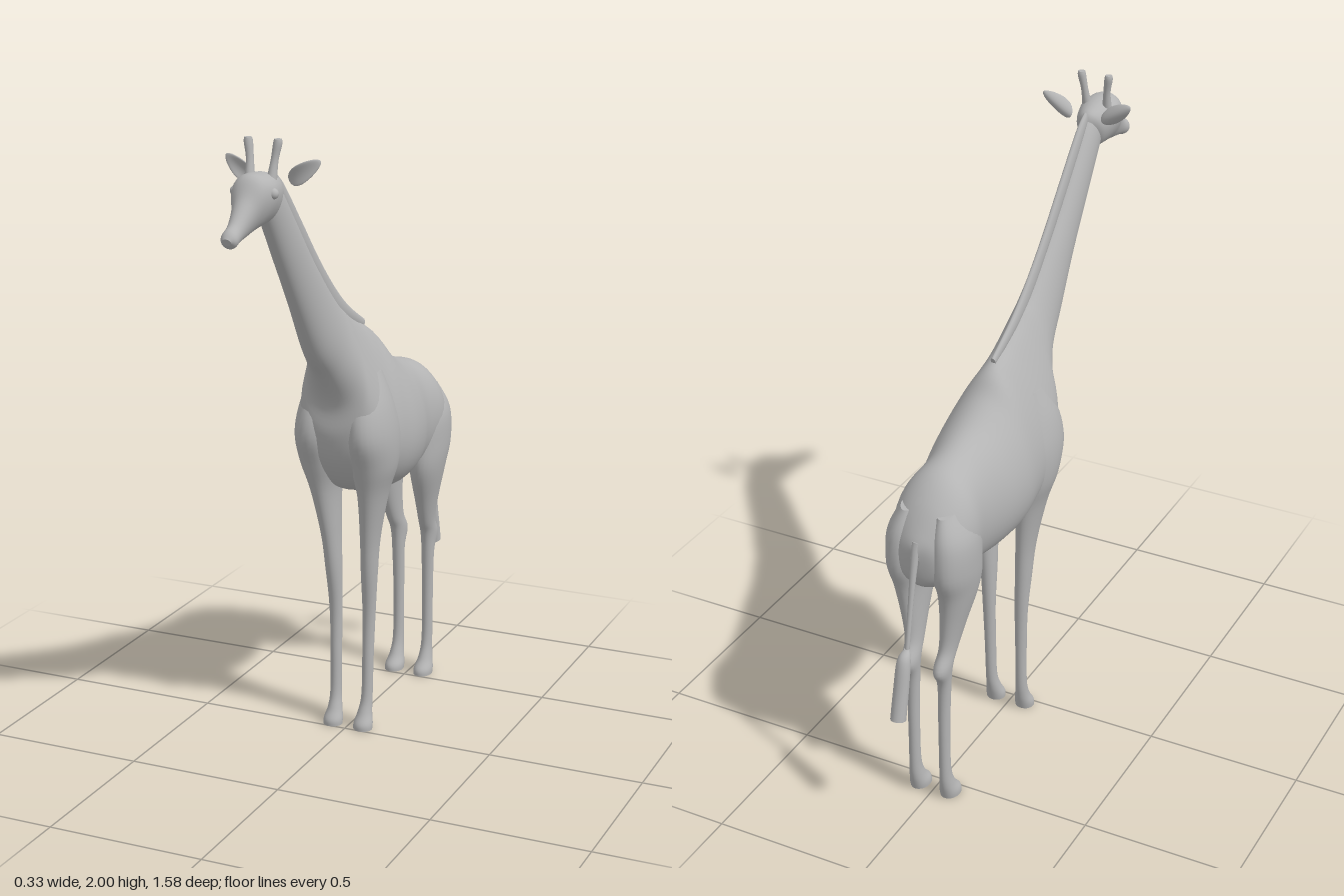
import * as THREE from 'three';

const hide = new THREE.MeshStandardMaterial({ color: 0xb4b4b4 });
hide.name = 'grey hide';

// Uniform Catmull-Rom through one column of the section table
function spline(rows, col, t) {
  const n = rows.length - 1, i = Math.min(Math.floor(t), n - 1), f = t - i;
  const at = (k) => rows[Math.max(0, Math.min(n, k))][col];
  const [a, b, c, d] = [at(i - 1), at(i), at(i + 1), at(i + 2)];
  return b + 0.5 * f * (c - a + f * (2 * a - 5 * b + 4 * c - d + f * (3 * (b - c) + d - a)));
}

// Smooth skin over oval sections, each row: z1, y1, z2, y2 (two ends in the side plane),
// x centre, half width, narrowing toward the first end
function loft(name, rows, { side = 1, steps = 5, sides = 28 } = {}) {
  const pos = [], idx = [], rings = (rows.length - 1) * steps;
  for (let r = 0; r <= rings; r++) {
    const [z1, y1, z2, y2, x, w, k] = [0, 1, 2, 3, 4, 5, 6].map((c) => spline(rows, c, r / steps));
    for (let s = 0; s < sides; s++) {
      const a = (s / sides) * Math.PI * 2, c = Math.cos(a);
      pos.push(side * x + Math.sin(a) * w * (1 - k * c),
        (y1 + y2) / 2 + c * (y1 - y2) / 2, (z1 + z2) / 2 + c * (z1 - z2) / 2);
    }
  }
  for (let r = 0; r < rings; r++) {
    for (let s = 0; s < sides; s++) {
      const a = r * sides + s, b = r * sides + (s + 1) % sides;
      idx.push(a, b, a + sides, b, b + sides, a + sides);
    }
  }
  // flat end caps with their own vertices
  for (const r of [0, rings]) {
    const base = pos.length / 3;
    pos.push(...pos.slice(r * sides * 3, (r + 1) * sides * 3));
    for (let s = 1; s < sides - 1; s++) {
      idx.push(base, ...(r ? [base + s, base + s + 1] : [base + s + 1, base + s]));
    }
  }
  // turn the faces outward if the enclosed volume is negative
  let volume = 0;
  const v = (i) => new THREE.Vector3().fromArray(pos, i * 3);
  for (let i = 0; i < idx.length; i += 3) volume += v(idx[i]).dot(v(idx[i + 1]).cross(v(idx[i + 2])));
  if (volume < 0) idx.reverse();
  const geo = new THREE.BufferGeometry();
  geo.setAttribute('position', new THREE.Float32BufferAttribute(pos, 3));
  geo.setIndex(idx);
  geo.computeVertexNormals();
  const mesh = new THREE.Mesh(geo, hide);
  mesh.name = name;
  return mesh;
}

// Leaf-shaped ear, cupped toward the front
function ear(side) {
  const geo = new THREE.SphereGeometry(1, 24, 16);
  const p = geo.attributes.position;
  for (let i = 0; i < p.count; i++) {
    const u = p.getX(i), h = p.getY(i) * 0.026 * (1 - 0.25 * u);
    p.setXYZ(i, u * 0.058, h, p.getZ(i) * 0.011 + h * h * 22);
  }
  geo.computeVertexNormals();
  const mesh = new THREE.Mesh(geo, hide);
  mesh.name = side > 0 ? 'leftEar' : 'rightEar';
  mesh.position.set(side * 0.1, 1.903, 0.493);
  mesh.rotation.z = side > 0 ? 0.6 : Math.PI - 0.6;
  return mesh;
}

// Rump to neck
const bodyRows = [
  [-0.64, 0.94, -0.635, 0.86, 0, 0.015, 0],
  [-0.622, 0.98, -0.622, 0.81, 0, 0.07, 0],
  [-0.57, 1.06, -0.58, 0.78, 0, 0.112, 0],
  [-0.5, 1.12, -0.5, 0.765, 0, 0.132, 0],
  [-0.4, 1.15, -0.41, 0.757, 0, 0.125, 0.05],
  [-0.3, 1.185, -0.3, 0.755, 0, 0.15, 0.12],
  [-0.22, 1.235, -0.2, 0.762, 0, 0.16, 0.2],
  [-0.17, 1.29, -0.1, 0.785, 0, 0.15, 0.3],
  [-0.13, 1.318, 0, 0.82, 0, 0.14, 0.4],
  [-0.07, 1.342, 0.07, 0.91, 0, 0.128, 0.45],
  [0, 1.378, 0.1, 1.01, 0, 0.108, 0.42],
  [0.05, 1.41, 0.103, 1.11, 0, 0.086, 0.35],
  [0.1, 1.445, 0.16, 1.205, 0, 0.066, 0.2],
  [0.18, 1.52, 0.245, 1.3, 0, 0.054, 0.1],
  [0.29, 1.635, 0.35, 1.46, 0, 0.045, 0],
  [0.4, 1.765, 0.46, 1.625, 0, 0.04, 0],
  [0.49, 1.868, 0.55, 1.76, 0, 0.036, 0],
  [0.53, 1.885, 0.58, 1.78, 0, 0.03, 0],
];
const headRows = [
  [0.485, 1.86, 0.53, 1.775, 0, 0.02, 0],
  [0.5, 1.888, 0.55, 1.763, 0, 0.044, -0.1],
  [0.55, 1.905, 0.58, 1.76, 0, 0.058, -0.2],
  [0.6, 1.912, 0.62, 1.755, 0, 0.062, -0.3],
  [0.65, 1.905, 0.655, 1.748, 0, 0.05, -0.3],
  [0.69, 1.85, 0.68, 1.743, 0, 0.034, -0.2],
  [0.74, 1.797, 0.73, 1.735, 0, 0.025, 0],
  [0.775, 1.775, 0.765, 1.725, 0, 0.025, 0],
  [0.79, 1.757, 0.78, 1.737, 0, 0.014, 0],
];
const maneRows = [
  [0.485, 1.895, 0.5, 1.86, 0, 0.008, 0],
  [0.43, 1.853, 0.45, 1.8, 0, 0.011, 0],
  [0.31, 1.722, 0.34, 1.67, 0, 0.011, 0],
  [0.195, 1.593, 0.22, 1.54, 0, 0.011, 0],
  [0.08, 1.482, 0.1, 1.42, 0, 0.011, 0],
  [-0.02, 1.404, 0, 1.36, 0, 0.011, 0],
  [-0.143, 1.334, -0.13, 1.305, 0, 0.008, 0],
];
// Front and back edge from shoulder or hip down to the hoof
const foreLegRows = [
  [0.02, 1.2, -0.08, 1.2, 0.075, 0.03, 0],
  [0.085, 1.1, -0.12, 1.1, 0.08, 0.064, 0],
  [0.105, 1, -0.15, 1, 0.087, 0.075, 0],
  [0.07, 0.9, -0.14, 0.9, 0.086, 0.07, 0],
  [0.035, 0.8, -0.115, 0.8, 0.081, 0.045, 0],
  [0, 0.65, -0.096, 0.65, 0.068, 0.03, 0],
  [-0.02, 0.53, -0.088, 0.53, 0.062, 0.026, 0],
  [-0.04, 0.39, -0.084, 0.39, 0.058, 0.021, 0],
  [-0.038, 0.24, -0.08, 0.24, 0.056, 0.018, 0],
  [-0.034, 0.11, -0.075, 0.11, 0.055, 0.018, 0],
  [-0.018, 0.055, -0.068, 0.055, 0.053, 0.023, 0],
  [0.003, 0.02, -0.06, 0.02, 0.053, 0.031, 0],
  [0.005, 0, -0.055, 0, 0.053, 0.031, 0],
];
const hindLegRows = [
  [-0.46, 1.05, -0.59, 1.03, 0.06, 0.03, 0],
  [-0.42, 0.95, -0.625, 0.95, 0.074, 0.06, 0],
  [-0.41, 0.85, -0.63, 0.84, 0.077, 0.062, 0],
  [-0.415, 0.755, -0.6, 0.75, 0.075, 0.052, 0],
  [-0.47, 0.635, -0.587, 0.64, 0.065, 0.035, 0],
  [-0.51, 0.55, -0.59, 0.56, 0.058, 0.026, 0],
  [-0.535, 0.505, -0.622, 0.495, 0.055, 0.026, 0],
  [-0.548, 0.43, -0.594, 0.43, 0.054, 0.021, 0],
  [-0.555, 0.27, -0.595, 0.27, 0.053, 0.018, 0],
  [-0.553, 0.12, -0.595, 0.11, 0.053, 0.018, 0],
  [-0.533, 0.055, -0.592, 0.055, 0.053, 0.023, 0],
  [-0.504, 0.02, -0.585, 0.02, 0.053, 0.031, 0],
  [-0.5, 0, -0.58, 0, 0.053, 0.031, 0],
];
const hornRows = [
  [0.59, 1.885, 0.555, 1.885, 0.034, 0.015, 0],
  [0.573, 1.94, 0.548, 1.94, 0.038, 0.011, 0],
  [0.568, 1.985, 0.541, 1.985, 0.045, 0.013, 0],
  [0.565, 2, 0.543, 2, 0.046, 0.011, 0],
];
const tailRows = [
  [-0.6, 0.96, -0.635, 0.96, 0, 0.02, 0],
  [-0.628, 0.9, -0.652, 0.9, 0, 0.012, 0],
  [-0.664, 0.75, -0.68, 0.75, 0, 0.008, 0],
  [-0.69, 0.61, -0.705, 0.61, 0, 0.007, 0],
];
const tuftRows = [
  [-0.69, 0.625, -0.706, 0.625, 0, 0.008, 0],
  [-0.698, 0.588, -0.738, 0.598, 0, 0.021, 0],
  [-0.718, 0.49, -0.763, 0.5, 0, 0.024, 0],
  [-0.737, 0.403, -0.785, 0.414, 0, 0.024, 0],
];

export function createModel() {
  const model = new THREE.Group();
  model.name = 'giraffe';
  model.add(loft('bodyAndNeck', bodyRows, { sides: 48, steps: 6 }), loft('head', headRows),
    loft('mane', maneRows, { sides: 12 }), loft('tail', tailRows, { sides: 12 }),
    loft('tailTuft', tuftRows, { sides: 16 }));

  // Paired parts
  for (const side of [1, -1]) {
    const label = side > 0 ? 'left' : 'right';
    const eye = new THREE.Mesh(new THREE.SphereGeometry(0.016, 16, 12), hide);
    eye.name = label + 'Eye';
    eye.position.set(side * 0.058, 1.857, 0.612);
    model.add(loft(label + 'ForeLeg', foreLegRows, { side }), loft(label + 'HindLeg', hindLegRows, { side }),
      loft(label + 'Horn', hornRows, { side, sides: 16 }), ear(side), eye);
  }
  return model;
}
